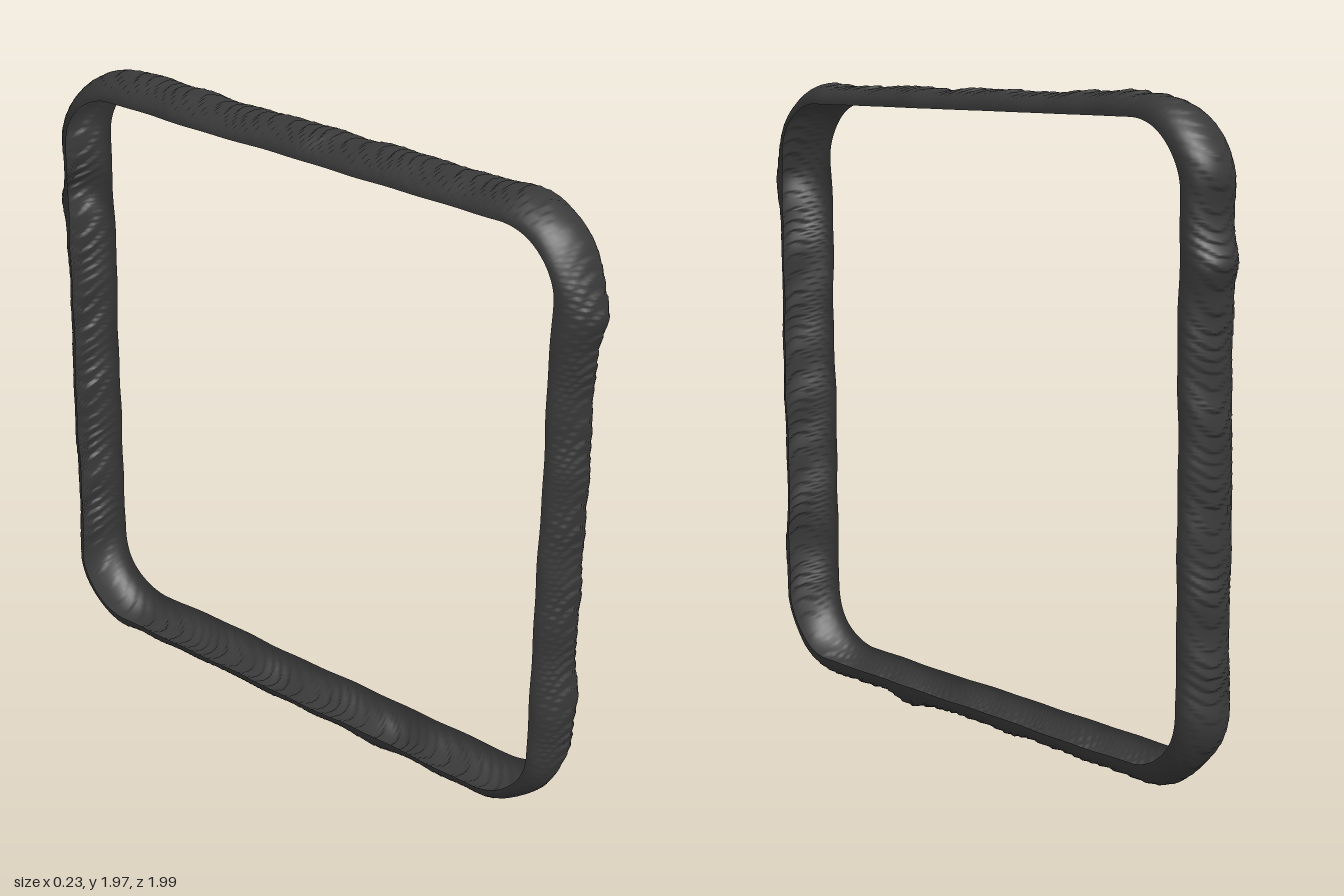
import * as THREE from 'three';

const HALF = 0.905;   // inner half size of the frame
const RADIUS = 0.19;  // inner corner radius
const RIPPLES = 150;  // weld-like ripples around the loop
const STEPS = RIPPLES * 10;
const ACROSS = 18;

// Local swellings of the bead: [z, y, extra height, spread]
const LUMPS = [
  [0.92, 1.66, 0.036, 0.09], [0.92, 0.42, 0.018, 0.07],
  [-0.92, 1.52, 0.036, 0.06], [-0.65, 1.93, 0.012, 0.13],
  [0.33, 0.05, 0.026, 0.08], [-0.76, 0.06, 0.02, 0.07],
  [-0.92, 0.4, 0.006, 0.06], [-0.92, 1.74, 0.012, 0.08],
];

// Point and outward direction on the inner rounded square, t in 0..1;
// corner rises to 1 in the middle of each bend
function loopPoint(t) {
  const straight = 2 * (HALF - RADIUS), arc = RADIUS * Math.PI / 2;
  const side = Math.floor(t * 4) % 4;
  const d = (t * 4 - Math.floor(t * 4)) * (straight + arc);
  const turn = side * Math.PI / 2;
  const bend = Math.max(0, d - straight) / RADIUS;
  const along = Math.min(d, straight) - straight / 2 + RADIUS * Math.sin(bend);
  const out = HALF - RADIUS + RADIUS * Math.cos(bend);
  const c = Math.cos(turn), s = Math.sin(turn);
  return {
    z: out * c - along * s,
    y: 1 + out * s + along * c,
    nz: Math.cos(turn + bend),
    ny: Math.sin(turn + bend),
    corner: Math.sin(2 * bend),
  };
}

const wave = (t, n, phase) => Math.sin(2 * Math.PI * n * t + phase);

// Domed bead with curved, overlapping ripples; v runs across it.
// Returns sideways position and height above the inner loop.
function beadSection(t, v, p) {
  const angle = Math.PI * (1 - v);
  const u = Math.cos(angle), dome = Math.sin(angle);
  const drift = 0.01 * (p.y - 1) - 0.005 * p.z + 0.002 * wave(t, 9, 1);
  const halfWidth = 0.1 + 0.002 * wave(t, 13, 0) + 0.0015 * wave(t, 31, 2);
  let height = 0.05 + 0.003 * wave(t, 17, 0.5) + 0.002 * wave(t, 41, u * 2);
  height += 0.006 * p.corner + 0.003 * p.ny - 0.003 * Math.min(0, p.ny) * 4;
  for (const [z, y, h, spread] of LUMPS) {
    const d2 = (p.z - z) ** 2 + (p.y - y) ** 2;
    height += h * Math.exp(-d2 / (spread * spread));
  }
  const phase = t * RIPPLES + 1.9 * u * u - 0.3 * u + 0.4 * wave(t, 23, 0);
  const strength = 0.009 * (1 - 0.7 * p.corner) * (0.8 + 0.2 * wave(t, 29, 1));
  const ripple = strength * (phase - Math.floor(phase));
  return [drift + halfWidth * u, dome * (height * (1 + 0.12 * u) + ripple)];
}

// Sweeps the bead section around the closed loop as an open shell
function beadGeometry() {
  const pos = [], index = [], row = ACROSS + 1;
  for (let i = 0; i < STEPS; i++) {
    const t = i / STEPS, p = loopPoint(t);
    for (let j = 0; j <= ACROSS; j++) {
      const [x, h] = beadSection(t, j / ACROSS, p);
      pos.push(x, p.y + p.ny * h, p.z + p.nz * h);
      if (j === ACROSS) continue;
      const a = i * row + j, b = ((i + 1) % STEPS) * row + j;
      index.push(a, a + 1, b, a + 1, b + 1, b);
    }
  }
  const geo = new THREE.BufferGeometry();
  geo.setAttribute('position', new THREE.Float32BufferAttribute(pos, 3));
  geo.setIndex(index);
  geo.computeVertexNormals();
  return geo;
}

export function createModel() {
  const group = new THREE.Group();
  group.name = 'squareFrame';
  const material = new THREE.MeshStandardMaterial({ color: 0x383838, side: THREE.DoubleSide });
  const bead = new THREE.Mesh(beadGeometry(), material);
  bead.name = 'rippledBead';
  group.add(bead);
  return group;
}
